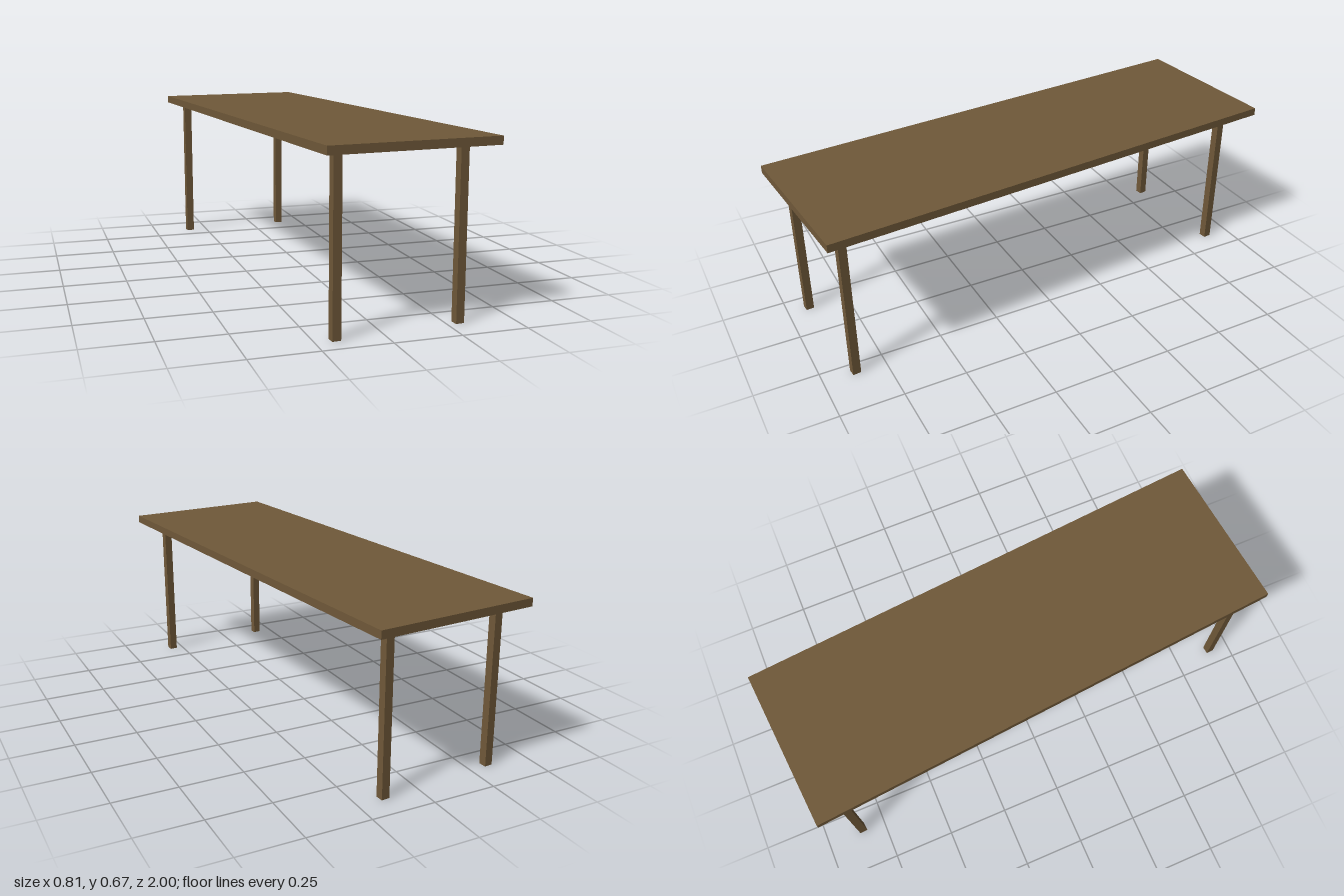
import * as THREE from 'three';

const TOP_Y = 0.665;      // upper face of the table top
const THICKNESS = 0.031;  // table top thickness
const LEG_SIZE = 0.032;
const LEG_HEIGHT = TOP_Y - THICKNESS;

export function createModel() {
  const wood = new THREE.MeshStandardMaterial({ color: 0x705939 });
  wood.name = 'brown wood';

  const table = new THREE.Group();
  table.name = 'table';

  const addBox = (name, w, h, d, x, y, z) => {
    const mesh = new THREE.Mesh(new THREE.BoxGeometry(w, h, d), wood);
    mesh.name = name;
    mesh.position.set(x, y, z);
    table.add(mesh);
  };

  // Flat rectangular top
  addBox('tableTop', 0.647, THICKNESS, 1.953, 0, TOP_Y - THICKNESS / 2, 0);

  // Four square legs, set slightly off centre under the top
  for (const [end, sz] of [['front', 1], ['back', -1]]) {
    for (const [side, sx] of [['Left', 1], ['Right', -1]]) {
      addBox(`${end}${side}Leg`, LEG_SIZE, LEG_HEIGHT, LEG_SIZE,
        -0.018 + sx * 0.237, LEG_HEIGHT / 2, 0.01 + sz * 0.883);
    }
  }

  // The whole table stands turned by five degrees
  table.rotation.y = THREE.MathUtils.degToRad(5);

  const model = new THREE.Group();
  model.name = 'model';
  model.add(table);
  return model;
}
